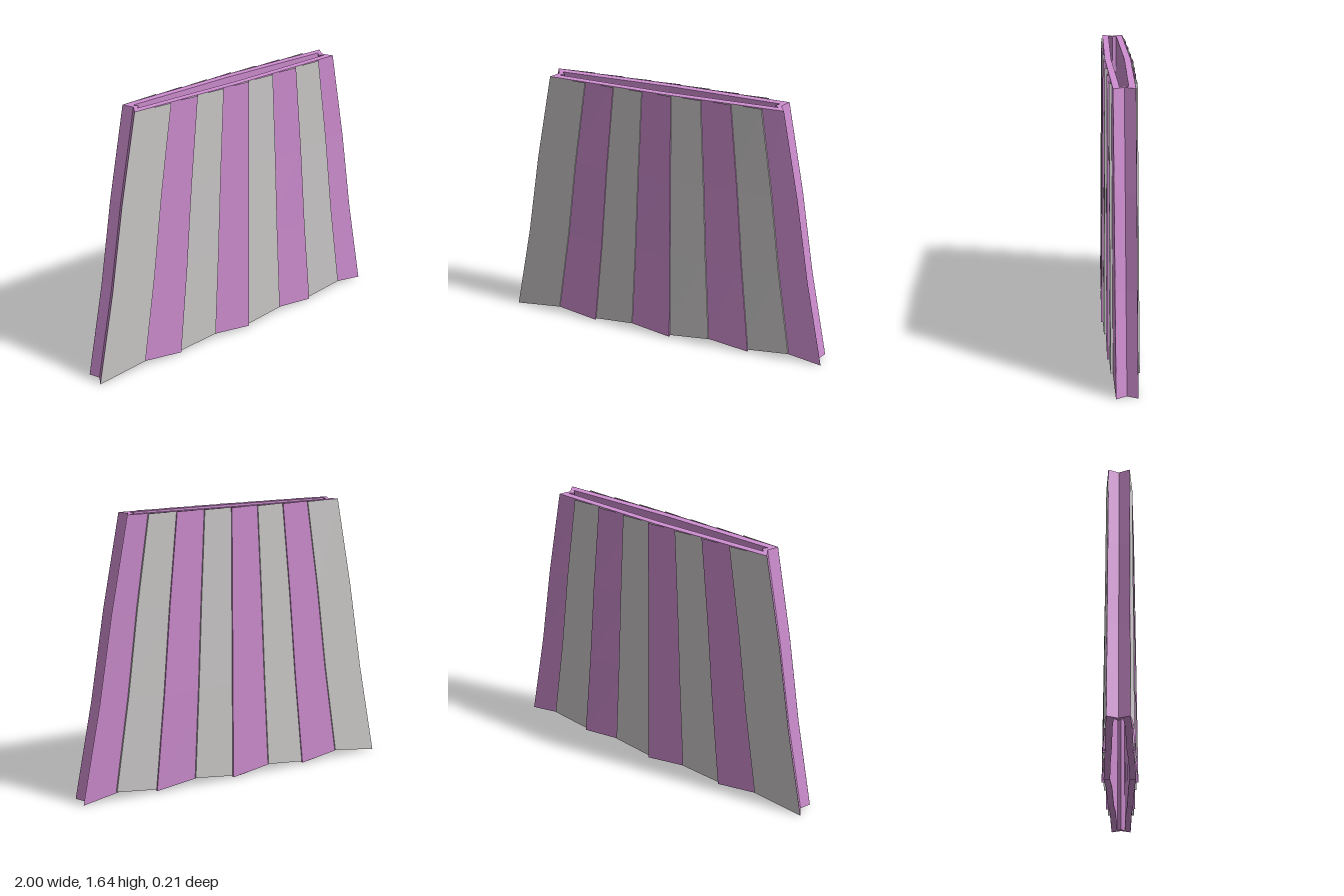
import * as THREE from 'three';

const HEIGHT = 1.64;
const PANELS = 8;
const OVERLAP = 0.05;   // each pleat laps over the next one
const LIFT = 0.013;     // how far a pleat's free edge stands off
const END_Z = 0.06;     // half depth at the side edges
// rows from hem to waist: [fraction of height, half width]
const ROWS = [[0, 1], [0.35, 0.885], [0.67, 0.797], [1, 0.69]];

// hem dips at every second pleat
function hemY(i) {
  if (i === 0 || i === PANELS) return 0;
  return i % 2 ? 0.05 : 0.012;
}
const rowY = (i, t) => hemY(i) * (1 - t) + HEIGHT * t;
const baseU = (i) => (i / PANELS) * 2 - 1;
// half depth of the body, widest in the middle
const depth = (i, t) => END_Z + (0.032 - 0.018 * t) * (1 - Math.abs(baseU(i)));

// flat-faced geometry from a list of quads
function quadGeometry(quads) {
  const pos = [];
  for (const [a, b, c, d] of quads) pos.push(...a, ...b, ...c, ...a, ...c, ...d);
  const g = new THREE.BufferGeometry();
  g.setAttribute('position', new THREE.Float32BufferAttribute(pos, 3));
  g.computeVertexNormals();
  return g;
}

// closed loop round the body: front, grooved side, back, grooved side
function ring([t, w], inset) {
  const front = [], back = [];
  for (let i = 0; i <= PANELS; i++) {
    const x = baseU(i) * (w - inset), z = depth(i, t) - inset * 0.9;
    front.push([x, rowY(i, t), z]);
    back.unshift([x, rowY(i, t), -z]);
  }
  const gx = w - 0.03 - inset * 0.85;
  return [...front, [gx, rowY(PANELS, t), 0], ...back, [-gx, rowY(0, t), 0]];
}

// hollow body, open at the waist and the hem
function bodyGeometry() {
  const outer = ROWS.map((r) => ring(r, 0));
  const inner = ROWS.map((r) => ring(r, 0.04));
  const n = outer[0].length, last = ROWS.length - 1;
  const quads = [];
  for (let i = 0; i < n; i++) {
    const j = (i + 1) % n;
    for (let r = 0; r < last; r++) {
      quads.push([outer[r][i], outer[r][j], outer[r + 1][j], outer[r + 1][i]]);
      quads.push([inner[r][j], inner[r][i], inner[r + 1][i], inner[r + 1][j]]);
    }
    quads.push([outer[last][i], outer[last][j], inner[last][j], inner[last][i]]);
    quads.push([outer[0][j], outer[0][i], inner[0][i], inner[0][j]]);
  }
  return quadGeometry(quads);
}

// one pleat with its free edge; side is 1 for front, -1 for back
function pleatGeometry(i, side) {
  const end = i === PANELS - 1;
  const lines = ROWS.map(([t, w]) => {
    const x0 = baseU(i) * w;
    const x1 = baseU(i + 1) * w + (end ? 0 : OVERLAP);
    const z0 = depth(i, t) + 0.001, z1 = depth(i + 1, t);
    const y1 = rowY(i + 1, t);
    return [
      [x0, rowY(i, t), side * z0],
      [x1, y1, side * (z1 + (end ? 0.001 : LIFT))],
      [x1, y1, side * (z1 - 0.006)],
    ];
  });
  const quads = [];
  for (let r = 0; r < ROWS.length - 1; r++) {
    for (let k = 0; k < (end ? 1 : 2); k++) {
      const q = [lines[r][k], lines[r][k + 1], lines[r + 1][k + 1], lines[r + 1][k]];
      quads.push(side > 0 ? q : q.reverse());
    }
  }
  return quadGeometry(quads);
}

export function createModel() {
  const pink = new THREE.MeshStandardMaterial({ color: 0xd08fd2, side: THREE.DoubleSide });
  pink.name = 'pink';
  const grey = new THREE.MeshStandardMaterial({ color: 0xcfcccc, side: THREE.DoubleSide });
  grey.name = 'lightGrey';

  const model = new THREE.Group();
  model.name = 'pleatedSkirt';
  const add = (name, geometry, material) => {
    const mesh = new THREE.Mesh(geometry, material);
    mesh.name = name;
    model.add(mesh);
  };

  add('skirtBody', bodyGeometry(), pink);
  for (const side of [1, -1]) {
    for (let i = 0; i < PANELS; i++) {
      add((side > 0 ? 'frontPleat' : 'backPleat') + (i + 1), pleatGeometry(i, side), i % 2 ? pink : grey);
    }
  }
  return model;
}
